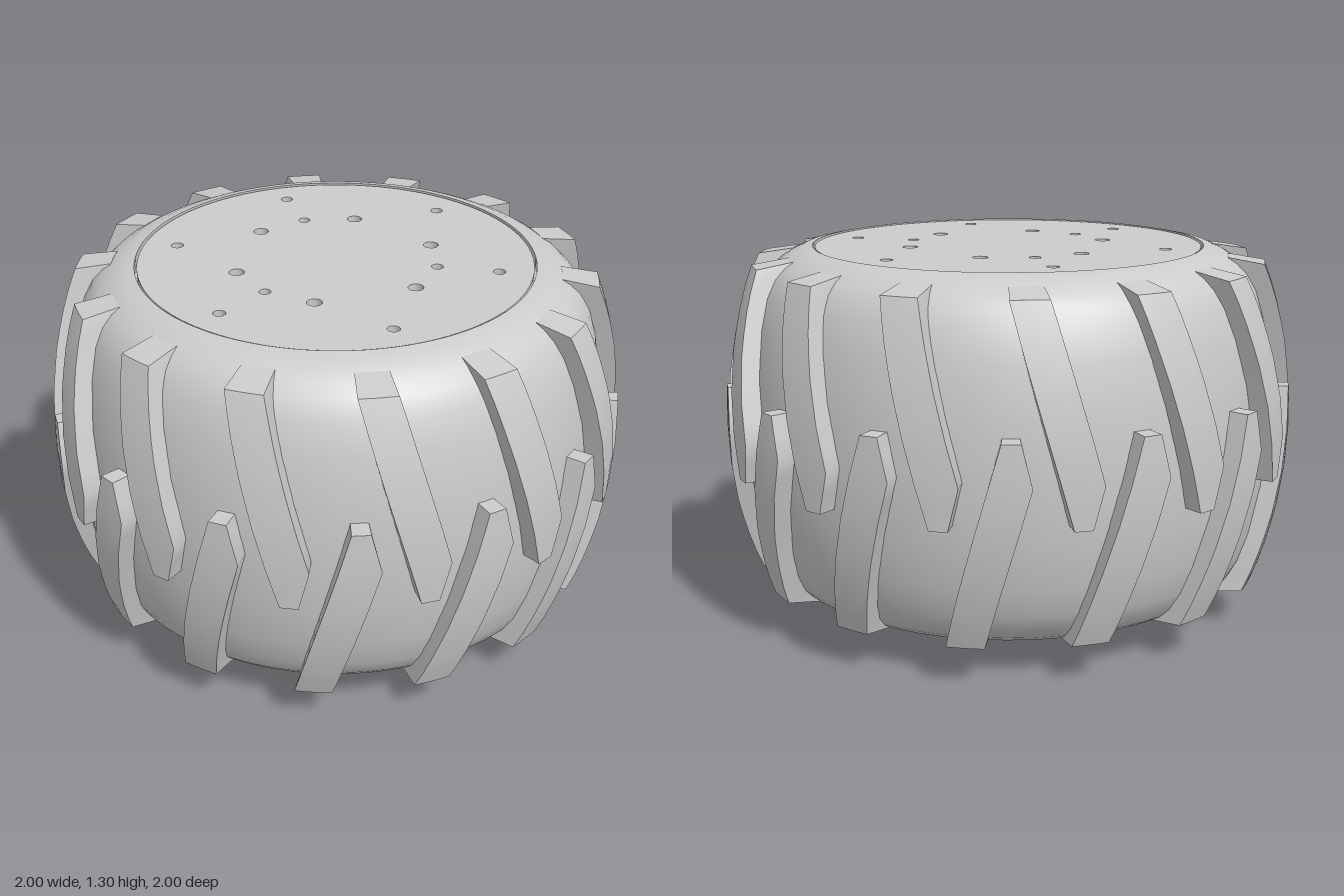
import * as THREE from 'three';
import { toCreasedNormals } from 'three/addons/utils/BufferGeometryUtils.js';

const MID = 0.692;   // height of the tread centre line
const LUGS = 14;     // lugs per row
const DEG = Math.PI / 180;
const material = new THREE.MeshStandardMaterial({ color: 0xcccccc });

function add(parent, name, geometry) {
  const mesh = new THREE.Mesh(geometry, material);
  mesh.name = name;
  parent.add(mesh);
  return mesh;
}

// Linear interpolation through [position, value] pairs
function sample(pairs, t) {
  let i = 1;
  while (i < pairs.length - 1 && t > pairs[i][0]) i++;
  const [t0, v0] = pairs[i - 1], [t1, v1] = pairs[i];
  return v0 + (v1 - v0) * (t - t0) / (t1 - t0);
}

// Evenly spaced holes on a bolt circle, angles from +x towards +z
const boltCircle = (count, startDeg, circle, r) =>
  Array.from({ length: count }, (_, i) => {
    const a = startDeg * DEG + i * 2 * Math.PI / count;
    return { x: circle * Math.cos(a), z: circle * Math.sin(a), r };
  });

// Horizontal disc between two heights, pierced by holes
function disc(radius, y0, y1, holes = []) {
  const shape = new THREE.Shape().absarc(0, 0, radius, 0, 2 * Math.PI);
  for (const h of holes) {
    shape.holes.push(new THREE.Path().absarc(h.x, -h.z, h.r, 0, 2 * Math.PI, true));
  }
  const geo = new THREE.ExtrudeGeometry(shape, { depth: y1 - y0, bevelEnabled: false, curveSegments: 40 });
  geo.rotateX(-Math.PI / 2);
  geo.translate(0, y0, 0);
  return toCreasedNormals(geo, 0.6);
}

// Tyre body: half profile [distance from centre line, radius], mirrored
function tyreGeometry() {
  const half = [[0, 0.935], [0.2, 0.925], [0.36, 0.898], [0.46, 0.868], [0.52, 0.835],
    [0.555, 0.8], [0.58, 0.76], [0.597, 0.72], [0.604, 0.683], [0.57, 0.683], [0.57, 0.67]];
  const lower = half.slice(1).reverse().map(([h, r]) => new THREE.Vector2(r, MID - h));
  const upper = half.map(([h, r]) => new THREE.Vector2(r, MID + h));
  return toCreasedNormals(new THREE.LatheGeometry([...lower, ...upper], 96), 0.6);
}

// One slanted lug wrapped round the tyre; side = 1 upper row, -1 lower row
function lugGeometry(side) {
  const crown = [[-0.14, 0.995], [0, 1], [0.14, 0.994], [0.3, 0.972], [0.45, 0.934], [0.56, 0.895]];
  const leftEdge = [[-0.14, -7.5], [0.56, -19]];
  const rightEdge = [[-0.14, -4], [0, -2], [0.56, -11]];
  const geo = new THREE.BoxGeometry(1, 1, 1, 3, 10, 1);
  const p = geo.attributes.position;
  for (let i = 0; i < p.count; i++) {
    const u = p.getX(i) + 0.5;
    const v = 0.5 + side * p.getY(i);
    const outer = p.getZ(i) > 0;
    let h = -0.14 + 0.7 * v;
    const left = sample(leftEdge, h), right = sample(rightEdge, h);
    const a = (left + (right - left) * u) * DEG;
    const r = outer ? sample(crown, h) : 0.77;
    // sloping shoulder at the outer end
    if (v > 0.99) h = outer ? 0.555 : 0.575;
    p.setXYZ(i, r * Math.sin(a), MID + side * h, r * Math.cos(a));
  }
  geo.computeVertexNormals();
  return geo;
}

export function createModel() {
  const model = new THREE.Group();
  model.name = 'wheel';

  add(model, 'tyre', tyreGeometry());

  // Two rows of lugs, staggered by half a pitch
  for (const side of [1, -1]) {
    const row = new THREE.Group();
    row.name = side > 0 ? 'upperLugs' : 'lowerLugs';
    const geo = lugGeometry(side);
    const pitch = 2 * Math.PI / LUGS;
    for (let i = 0; i < LUGS; i++) {
      add(row, 'lug', geo).rotation.y = (i + (side > 0 ? 0.5 : 0)) * pitch;
    }
    model.add(row);
  }

  // Wheel disc with through holes, and a face plate with extra shallow holes
  const through = boltCircle(6, 30, 0.56, 0.021);
  const faceHoles = [...through, ...boltCircle(6, 0, 0.35, 0.026), ...boltCircle(3, 90, 0.35, 0.02)];
  add(model, 'wheelCore', disc(0.675, 0.093, 1.24, through));
  add(model, 'facePlate', disc(0.675, 1.24, 1.292, faceHoles));

  // Stepped hub underneath, with mounting holes and two larger ports
  const hubHoles = [...boltCircle(6, 15, 0.34, 0.02),
    { x: 0.148, z: 0.04, r: 0.04 }, { x: 0.04, z: 0.148, r: 0.04 }];
  add(model, 'hubFlange', disc(0.51, 0.057, 0.1));
  add(model, 'hubNeck', disc(0.45, 0.045, 0.06, hubHoles));
  add(model, 'hubRing', disc(0.465, 0.022, 0.045, hubHoles));
  add(model, 'hubCap', disc(0.39, 0, 0.022, hubHoles));

  return model;
}
